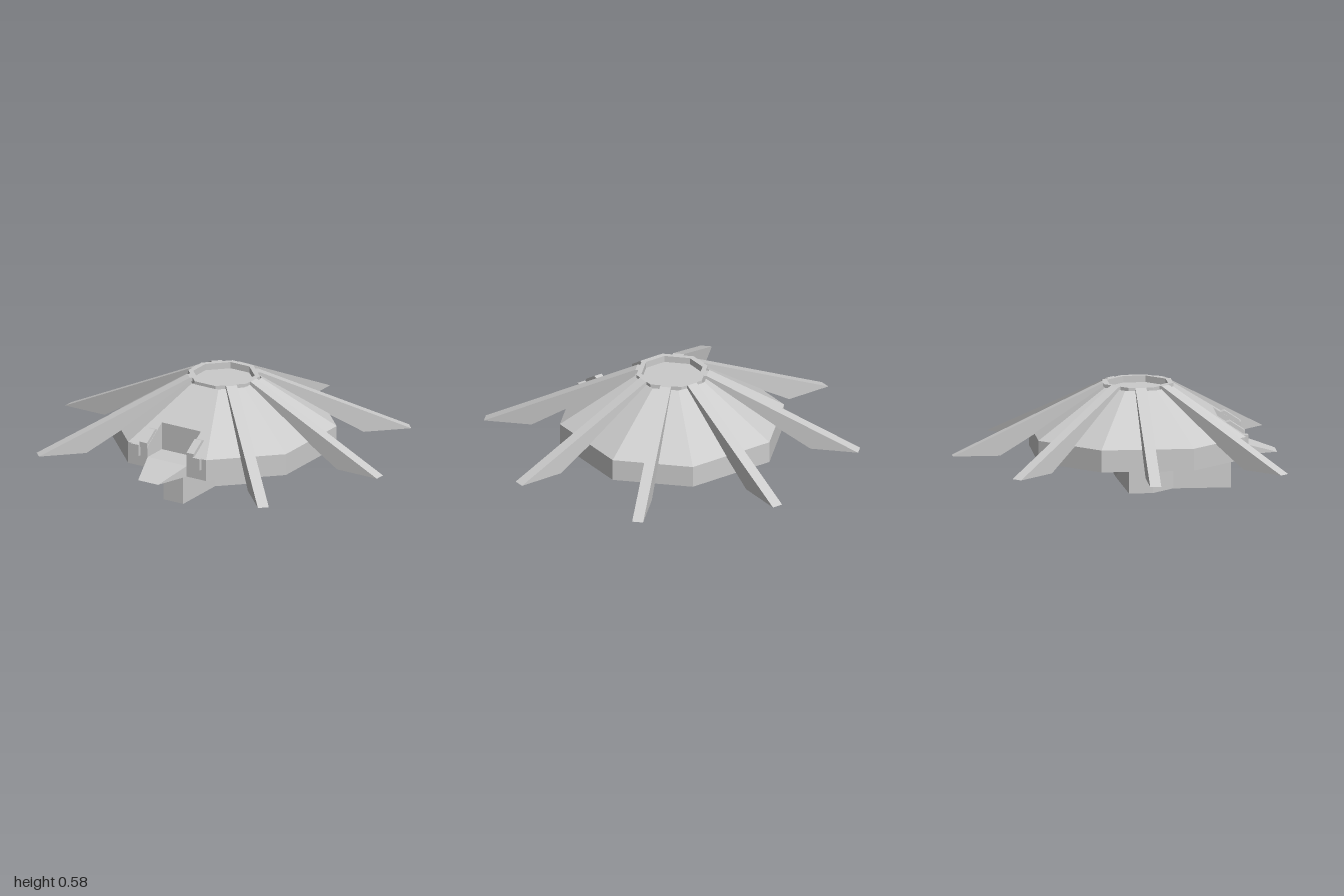
import * as THREE from 'three';

const mat = new THREE.MeshStandardMaterial({ color: 0xcccccc, flatShading: true, side: THREE.DoubleSide });
const CENTRE_Z = 0.125, BASE = 0.19, EAVE = 0.31, TOP = 0.578;

// Octagon ring of half-width h and half edge length c, anticlockwise from above, first edge at the front
const oct = (h, c, y) =>
  [[-c, h], [c, h], [h, c], [h, -c], [c, -h], [-c, -h], [-h, -c], [-h, c]].map(([x, z]) => [x, y, z]);

function named(name, geometry) {
  const m = new THREE.Mesh(geometry, mat);
  m.name = name;
  return m;
}

// Faces (corner lists, anticlockwise from outside) joined into one mesh
function faceMesh(name, faces) {
  const pos = [];
  for (const f of faces)
    for (let i = 1; i < f.length - 1; i++) pos.push(...f[0], ...f[i], ...f[i + 1]);
  const g = new THREE.BufferGeometry();
  g.setAttribute('position', new THREE.Float32BufferAttribute(pos, 3));
  g.computeVertexNormals();
  return named(name, g);
}

// Walls between two rings, from edge number `first`
function band(a, b, first = 0) {
  const out = [];
  for (let i = first; i < a.length; i++) {
    const j = (i + 1) % a.length;
    out.push([a[i], a[j], b[j], b[i]]);
  }
  return out;
}

// Side profile in (distance forward, height), extruded between x0 and x1
function slab(profile, x0, x1) {
  const shape = new THREE.Shape(profile.map(([r, y]) => new THREE.Vector2(-r, y)));
  const g = new THREE.ExtrudeGeometry(shape, { depth: x1 - x0, bevelEnabled: false });
  g.rotateY(Math.PI / 2);
  g.translate(x0, 0, 0);
  return g;
}

// Thin conical shell with an upright skirt, open below
function hull() {
  const low = oct(0.56, 0.25, BASE), eave = oct(0.56, 0.25, EAVE), top = oct(0.185, 0.085, 0.562);
  const faces = [...band(low, eave, 1), ...band(eave, top, 1)];

  // Front side with the doorway notch
  const w = 0.125, f = 0.25, z = 0.56, zb = 0.42;
  const t = (z - zb) / (z - 0.185);
  const yt = THREE.MathUtils.lerp(EAVE, 0.562, t), c = THREE.MathUtils.lerp(0.25, 0.085, t);
  faces.push(
    [low[0], low[1], [0.25, f, z], [-0.25, f, z]],
    [[-c, yt, zb], [c, yt, zb], top[1], top[0]],
    [[-w, f, z], [w, f, z], [w, f, zb], [-w, f, zb]],
    [[-w, f, zb], [w, f, zb], [w, yt, zb], [-w, yt, zb]],
    [[-0.25, f, z], [-w, f, z], [-w, EAVE, z], eave[0]],
    [[w, f, z], [0.25, f, z], eave[1], [w, EAVE, z]],
    [eave[0], [-w, EAVE, z], [-w, yt, zb], [-c, yt, zb]],
    [[w, EAVE, z], eave[1], [c, yt, zb], [w, yt, zb]],
    [[-w, f, z], [-w, f, zb], [-w, yt, zb], [-w, EAVE, z]],
    [[w, f, zb], [w, f, z], [w, EAVE, z], [w, yt, zb]],
  );
  return faceMesh('hull', faces);
}

// Closed drum inside the skirt
function innerDrum() {
  const low = oct(0.37, 0.165, 0.197), high = oct(0.37, 0.165, 0.43);
  return faceMesh('innerDrum', [[...low].reverse(), ...band(low, high)]);
}

// Raised collar around the sunken roof plate
function topRing() {
  const pts = (h, c) => oct(h, c, 0).map(([x, , z]) => new THREE.Vector2(x, -z));
  const shape = new THREE.Shape(pts(0.187, 0.066));
  shape.holes.push(new THREE.Path(pts(0.158, 0.06)));
  const g = new THREE.ExtrudeGeometry(shape, { depth: TOP - 0.54, bevelEnabled: false });
  g.rotateX(-Math.PI / 2);
  g.translate(0, 0.54, 0);
  return named('topRing', g);
}

// Hanging cabin with a cut-away lower back
function cabin() {
  const base = oct(0.187, 0.064, 0), top = oct(0.187, 0.064, 0.197);
  base[4] = [0.064, 0.07, -0.125];
  base[5] = [-0.064, 0.07, -0.125];
  return faceMesh('cabin', [
    ...band(base, top),
    [base[7], base[6], base[3], base[2], base[1], base[0]],
    [base[6], base[5], base[4], base[3]],
  ]);
}

// Wedge ramp narrowing to its tip
function ramp() {
  const a = [-0.125, 0.25, 0.56], b = [0.125, 0.25, 0.56];
  const c = [-0.125, BASE, 0.56], d = [0.125, BASE, 0.56];
  const e = [-0.064, BASE, 0.748], f = [0.064, BASE, 0.748];
  return faceMesh('ramp', [[e, f, b, a], [c, e, a], [f, d, b], [c, d, f, e]]);
}

export function createModel() {
  const model = new THREE.Group();
  const body = new THREE.Group();
  body.name = 'lander';
  body.position.z = CENTRE_Z;
  model.add(body);

  body.add(hull(), innerDrum(), topRing(), cabin(), ramp());
  body.add(faceMesh('roofPlate', [oct(0.16, 0.061, 0.542)]));

  const nose = named('cabinNose', new THREE.BoxGeometry(0.128, 0.195, 0.34));
  nose.position.set(0, 0.0975, 0.33);
  body.add(nose);

  // Seven sloping legs; the front place is taken by the ramp, diagonal ones are a little longer
  const legProfile = [[0.172, TOP], [0.19, TOP], [1, BASE], [0.745, BASE], [0.56, 0.305], [0.19, 0.555], [0.172, 0.555]];
  const legGeometry = slab(legProfile, -0.03, 0.03);
  for (let i = 1; i < 8; i++) {
    const leg = named('leg', legGeometry);
    leg.rotation.y = (i * Math.PI) / 4;
    leg.scale.z = i % 2 ? 1.023 : 1;
    body.add(leg);
  }

  // Sloping arms with a short prong on both sides of the doorway
  const arm = [[0.455, 0.375], [0.485, 0.383], [0.565, 0.33], [0.565, 0.3], [0.455, 0.3]];
  for (const s of [-1, 1]) {
    const armMesh = named('doorArm', slab(arm, -0.023, 0.023));
    armMesh.position.x = s * 0.15;
    const prong = named('doorProng', new THREE.BoxGeometry(0.048, 0.065, 0.035));
    prong.position.set(s * 0.196, 0.282, 0.56);
    body.add(armMesh, prong);
  }
  return model;
}
